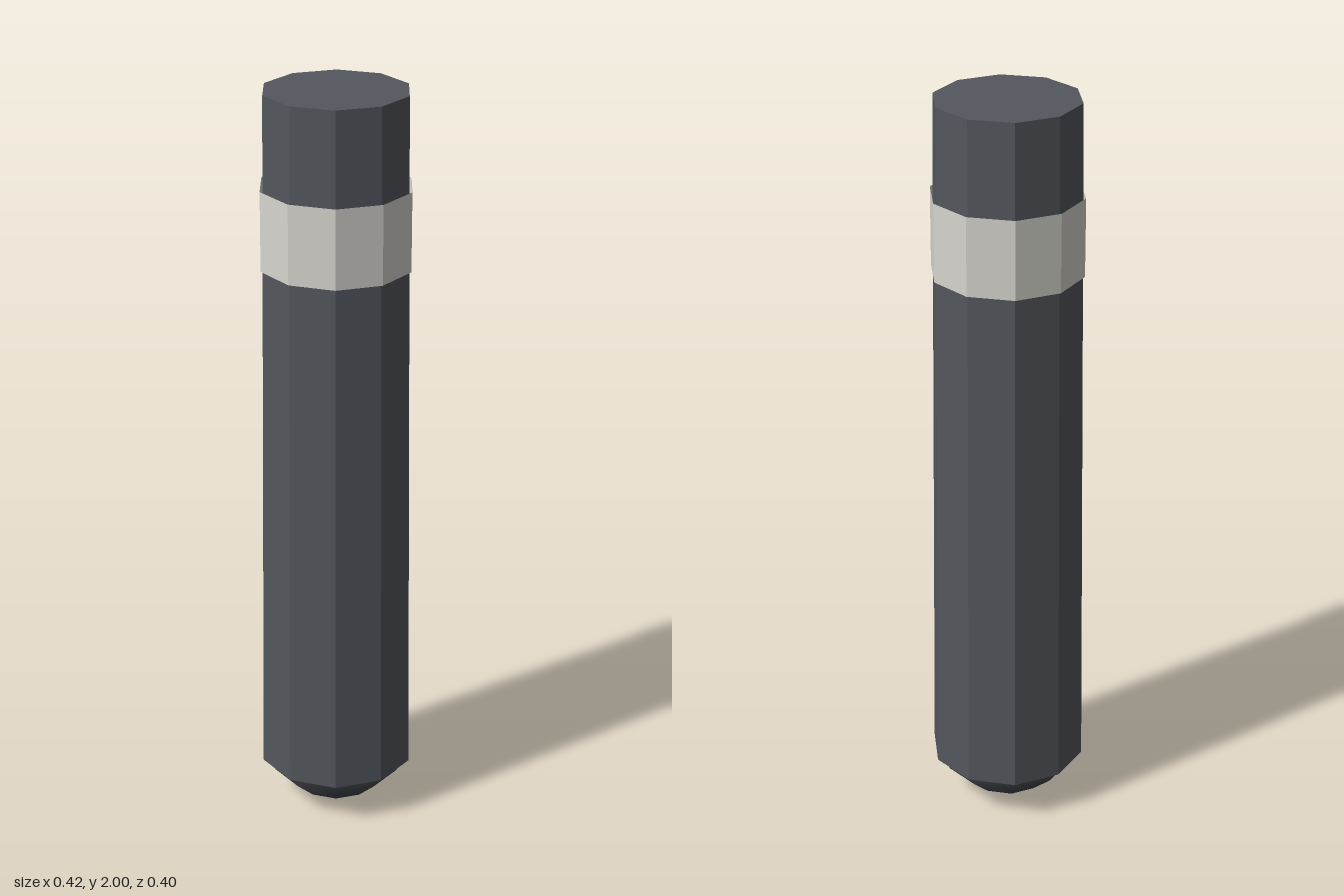
import * as THREE from 'three';

const SIDES = 10;

function part(name, geometry, color, y, options = {}) {
  const mesh = new THREE.Mesh(geometry, new THREE.MeshStandardMaterial({ color, ...options }));
  mesh.name = name;
  mesh.position.y = y;
  return mesh;
}

// Ten-sided prism with corners on the x axis
function prism(top, bottom, height, open = false) {
  return new THREE.CylinderGeometry(top, bottom, height, SIDES, 1, open, Math.PI / SIDES);
}

export function createModel() {
  const group = new THREE.Group();
  group.name = 'handle';

  // Slightly tapered shaft, closed at both ends
  group.add(part('shaft', prism(0.19, 0.21, 1.88), 0x53575d, 1.06, { flatShading: true }));

  // Pale open sleeve around the upper shaft
  group.add(part('band', prism(0.2, 0.2, 0.21, true), 0xd6d5ce, 1.65,
    { flatShading: true, side: THREE.DoubleSide }));

  // Smooth, flattened dome under the shaft
  const dome = part('domeTip', new THREE.SphereGeometry(0.185, SIDES, 5), 0x44474d, 0.12);
  dome.scale.y = 0.12 / 0.185;
  group.add(dome);

  return group;
}
